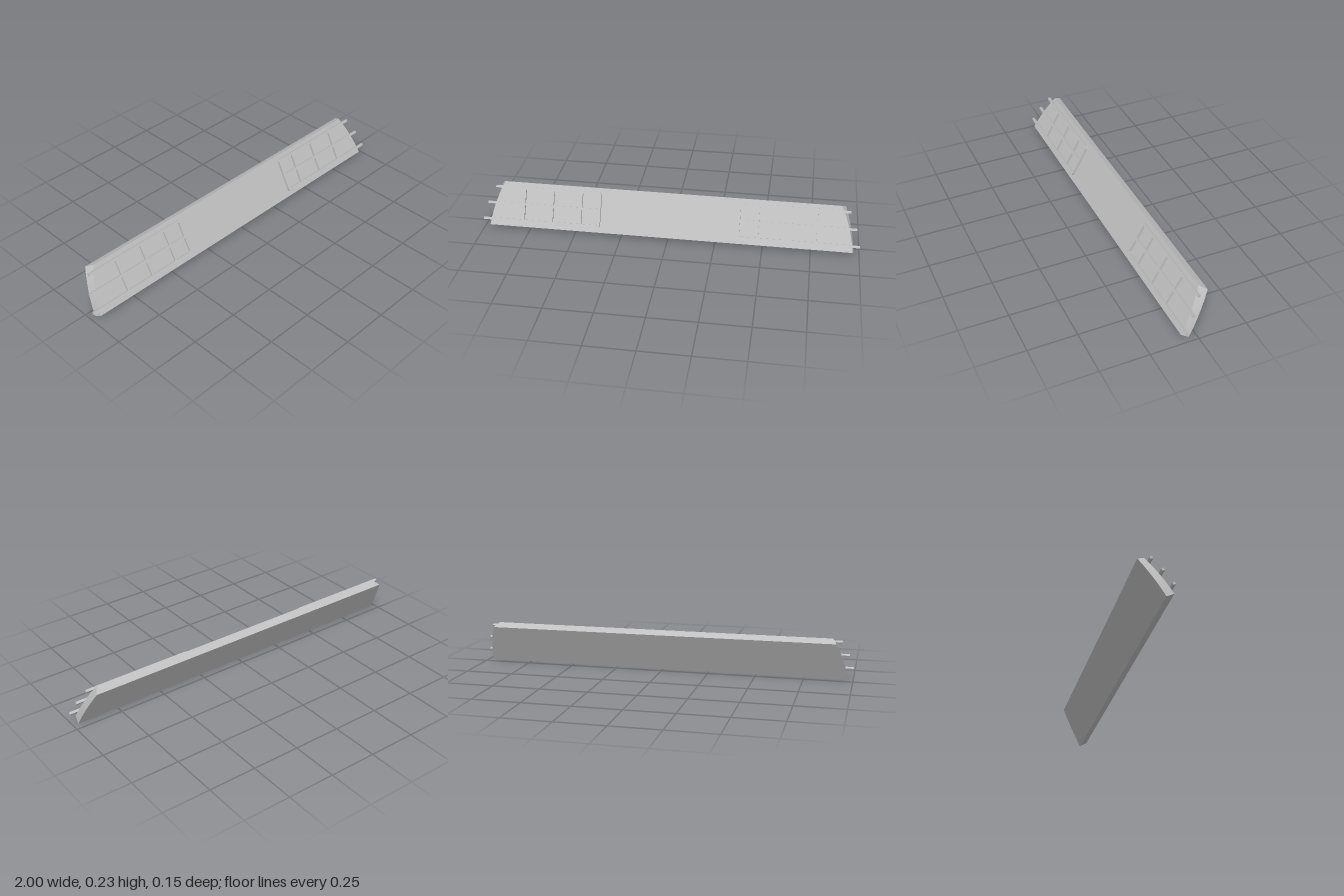
import * as THREE from 'three';

const HEIGHT = 0.238, THICK = 0.0434, RAIL = 0.0135;

// Slab whose two ends taper upwards in a gentle arc and flare towards the back
function slabGeometry() {
  const g = new THREE.BoxGeometry(2, HEIGHT, THICK, 1, 10, 1);
  g.translate(0, HEIGHT / 2, -THICK / 2);
  const p = g.attributes.position;
  for (let i = 0; i < p.count; i++) {
    const t = p.getY(i) / HEIGHT;
    const end = p.getZ(i) > -THICK / 2
      ? 0.965 - 0.025 * t - 0.044 * t * t
      : 0.972 - 0.02 * t - 0.035 * t * t;
    p.setX(i, Math.sign(p.getX(i)) * end);
  }
  g.computeVertexNormals();
  return g;
}

// U-shaped outer rail with rounded inner corners, open towards the slab end
function frameGeometry(s) {
  const x0 = 0.364, y0 = 0.027, y1 = 0.215, w = 0.0125, r = 0.016, ri = 0.006;
  const lower = 1.0, upper = 0.943;
  const sh = new THREE.Shape();
  sh.moveTo(s * lower, y0);
  sh.lineTo(s * (x0 + r), y0);
  sh.quadraticCurveTo(s * x0, y0, s * x0, y0 + r);
  sh.lineTo(s * x0, y1 - r);
  sh.quadraticCurveTo(s * x0, y1, s * (x0 + r), y1);
  sh.lineTo(s * upper, y1);
  sh.lineTo(s * upper, y1 - w);
  sh.lineTo(s * (x0 + w + ri), y1 - w);
  sh.quadraticCurveTo(s * (x0 + w), y1 - w, s * (x0 + w), y1 - w - ri);
  sh.lineTo(s * (x0 + w), y0 + w + ri);
  sh.quadraticCurveTo(s * (x0 + w), y0 + w, s * (x0 + w + ri), y0 + w);
  sh.lineTo(s * lower, y0 + w);
  sh.closePath();
  return new THREE.ExtrudeGeometry(sh, { depth: RAIL, bevelEnabled: false, curveSegments: 5 });
}

export function createModel() {
  const model = new THREE.Group();
  model.name = 'slopedPanel';
  const grey = new THREE.MeshStandardMaterial({ color: 0xc0c0c0 });
  grey.name = 'light grey';

  // Everything is built upright, then leaned back
  const panel = new THREE.Group();
  panel.name = 'leaningPanel';
  panel.rotation.x = -0.505;
  panel.position.set(0, 0.021, 0.0765);
  model.add(panel);

  const add = (parent, name, geometry, x = 0, y = 0, z = 0) => {
    const m = new THREE.Mesh(geometry, grey);
    m.name = name;
    m.position.set(x, y, z);
    parent.add(m);
  };

  add(panel, 'slab', slabGeometry());

  // A grid of rails near each end
  for (const s of [-1, 1]) {
    const rack = new THREE.Group();
    rack.name = s > 0 ? 'leftRails' : 'rightRails';
    panel.add(rack);
    add(rack, 'outerRail', frameGeometry(s));
    add(rack, 'middleRail', new THREE.BoxGeometry(0.606, 0.0125, RAIL), s * 0.677, 0.121, RAIL / 2);
    for (const x of [0.471, 0.626, 0.781])
      add(rack, 'crossBar', new THREE.BoxGeometry(0.01, 0.176, 0.0125), s * x, 0.121, 0.00625);
  }
  return model;
}
